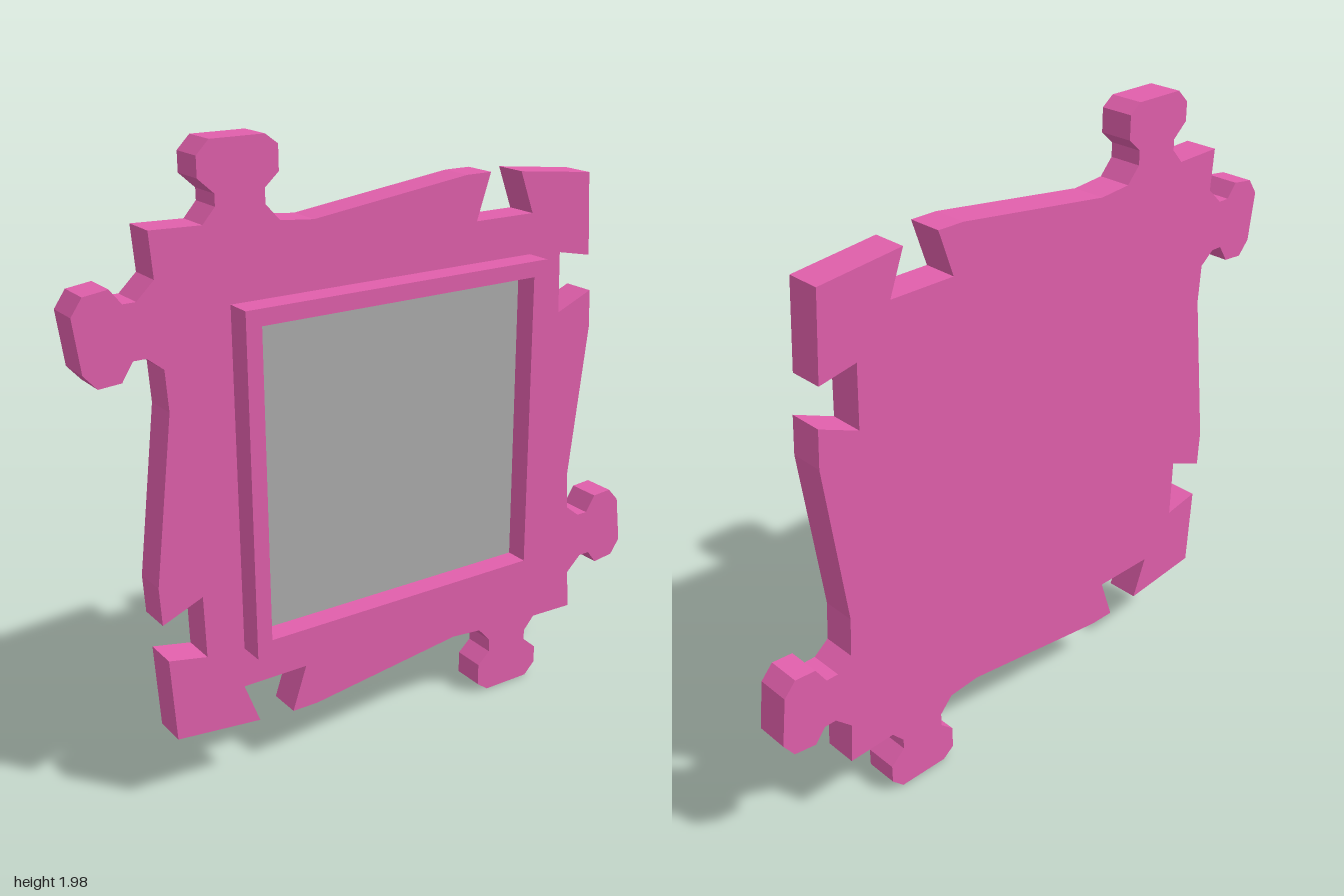
import * as THREE from 'three';

const MID_Y = 0.99;
const BACK_Z = -0.097, FACE_Z = 0.013, RIM_Z = 0.097;

const pink = new THREE.MeshStandardMaterial({ color: 0xe05fab, flatShading: true });
const grey = new THREE.MeshStandardMaterial({ color: 0xababab, flatShading: true });

// Half of the puzzle outline, clockwise from the top left corner;
// a half turn about the middle gives the other half.
const HALF_OUTLINE = [
  // top edge: tab, sloping edge, socket
  [-0.77, 1.76], [-0.61, 1.755], [-0.57, 1.80], [-0.57, 1.835], [-0.62, 1.88], [-0.62, 1.94],
  [-0.58, 1.98], [-0.41, 1.98], [-0.37, 1.95], [-0.37, 1.875], [-0.415, 1.835], [-0.415, 1.79],
  [-0.37, 1.74], [-0.26, 1.73], [0.28, 1.80], [0.37, 1.80], [0.32, 1.655], [0.54, 1.655],
  [0.49, 1.79],
  // right edge: socket, sloping edge, tab
  [0.77, 1.76], [0.785, 1.49], [0.66, 1.515], [0.665, 1.315], [0.797, 1.37], [0.803, 1.25],
  [0.737, 0.73], [0.745, 0.605], [0.795, 0.565], [0.835, 0.565], [0.87, 0.62], [0.94, 0.625],
  [0.98, 0.58], [1.0, 0.42], [0.965, 0.37], [0.89, 0.36], [0.855, 0.405], [0.815, 0.405],
  [0.76, 0.353],
];

function squarePoints(half) {
  return [[-1, -1], [1, -1], [1, 1], [-1, 1]].map(
    ([x, y]) => new THREE.Vector2(x * half, MID_Y + y * half));
}

function extrude(name, shape, z0, z1, material) {
  const geometry = new THREE.ExtrudeGeometry(shape, { depth: z1 - z0, bevelEnabled: false });
  const mesh = new THREE.Mesh(geometry, material);
  mesh.name = name;
  mesh.position.z = z0;
  return mesh;
}

export function createModel() {
  const group = new THREE.Group();
  group.name = 'puzzlePieceFrame';

  // Puzzle shaped backing slab
  const half = HALF_OUTLINE.map(([x, y]) => new THREE.Vector2(x, y));
  const turned = half.map((p) => new THREE.Vector2(-p.x, 2 * MID_Y - p.y));
  group.add(extrude('puzzleSlab', new THREE.Shape([...half, ...turned]), BACK_Z, FACE_Z, pink));

  // Raised square rim
  const rim = new THREE.Shape(squarePoints(0.535));
  rim.holes.push(new THREE.Path(squarePoints(0.485)));
  group.add(extrude('raisedRim', rim, FACE_Z, RIM_Z, pink));

  // Recessed picture panel
  const panel = new THREE.Shape(squarePoints(0.485));
  group.add(extrude('picturePanel', panel, FACE_Z, FACE_Z + 0.007, grey));

  return group;
}
